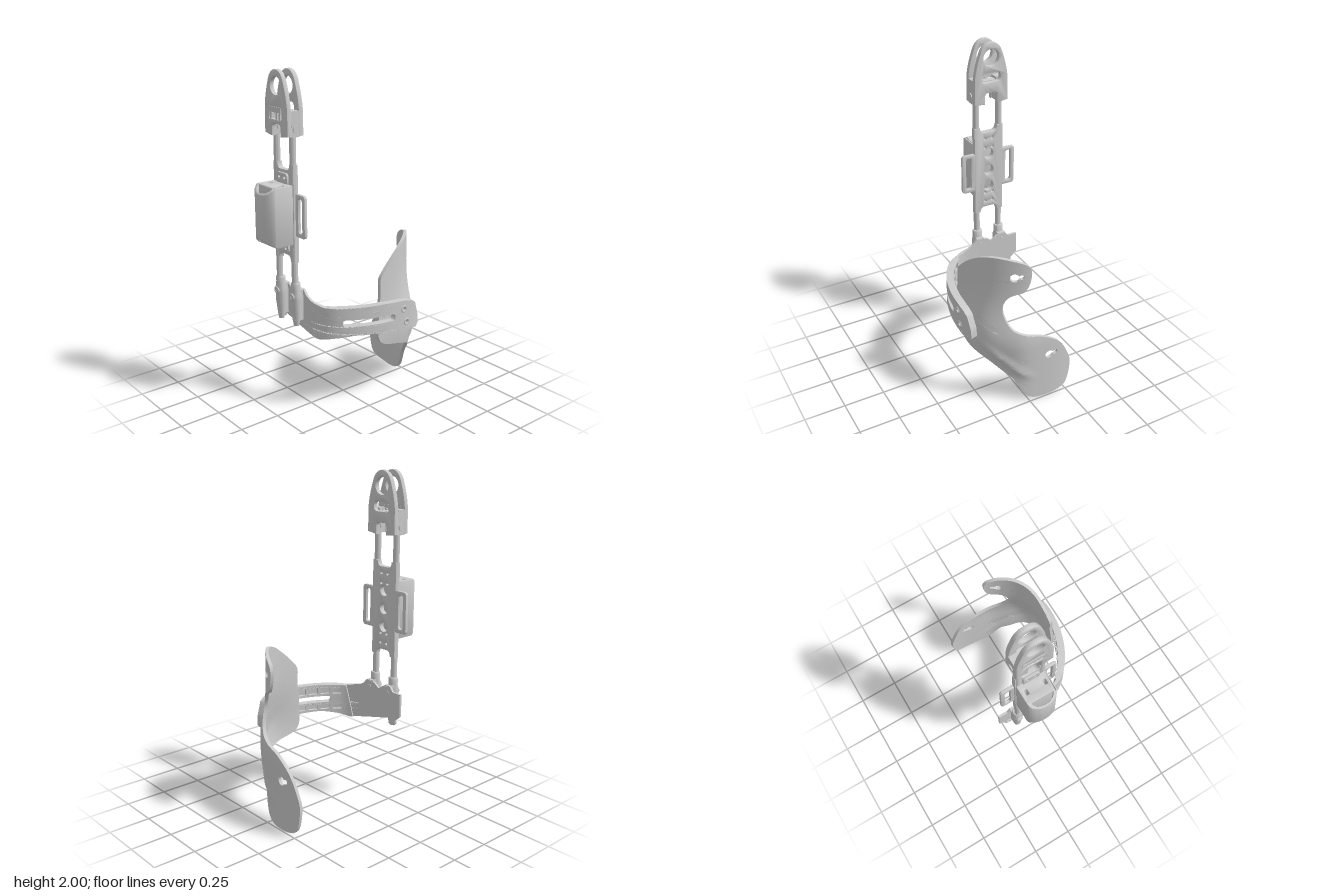
import * as THREE from 'three';
import { toCreasedNormals } from 'three/addons/utils/BufferGeometryUtils.js';

const V2 = (x, y) => new THREE.Vector2(x, y);
const CX = -0.143, RODS = [-0.219, -0.067], ROD_Z = 0.306;

function add(parent, name, geo, crease = 0.6) {
  const mesh = new THREE.Mesh(
    toCreasedNormals(geo.index ? geo.toNonIndexed() : geo, crease),
    new THREE.MeshStandardMaterial({ color: 0xcccccc }));
  mesh.name = name;
  parent.add(mesh);
  return mesh;
}

const box = (x0, x1, y0, y1, z0, z1) => new THREE.BoxGeometry(x1 - x0, y1 - y0, z1 - z0)
  .translate((x0 + x1) / 2, (y0 + y1) / 2, (z0 + z1) / 2);

const circle = (x, y, r) => new THREE.Path().absarc(x, y, r, 0, Math.PI * 2);

// rounded rectangle between two corners
function rounded(x0, x1, y0, y1, r, Type = THREE.Shape) {
  const p = new Type(), q = Math.PI / 2;
  p.absarc(x1 - r, y0 + r, r, -q, 0).absarc(x1 - r, y1 - r, r, 0, q);
  p.absarc(x0 + r, y1 - r, r, q, 2 * q).absarc(x0 + r, y0 + r, r, 2 * q, 3 * q);
  p.closePath();
  return p;
}

// flat plate from z0 to z1 with a small bevel
function plate(shape, z0, z1, bevel = 0.004) {
  return new THREE.ExtrudeGeometry(shape, {
    depth: z1 - z0 - 2 * bevel, bevelEnabled: bevel > 0, bevelThickness: bevel,
    bevelSize: bevel, bevelOffset: -bevel, bevelSegments: 2, curveSegments: 12,
  }).translate(0, 0, z0 + bevel);
}

// split every edge longer than max, so that a flat plate can be bent
function refine(geo, max) {
  const p = geo.attributes.position, stack = [], out = [];
  const v = (i) => new THREE.Vector3().fromBufferAttribute(p, i);
  for (let i = 0; i < p.count; i += 3) stack.push([v(i), v(i + 1), v(i + 2)]);
  while (stack.length) {
    let t = stack.pop();
    let m = t.map((a, i) => {
      const b = t[(i + 1) % 3];
      return a.distanceTo(b) > max ? a.clone().add(b).multiplyScalar(0.5) : null;
    });
    const n = m.filter(Boolean).length;
    const turn = () => { t = [t[1], t[2], t[0]]; m = [m[1], m[2], m[0]]; };
    if (n === 0) { out.push(...t); continue; }
    if (n === 1) while (!m[0]) turn();
    if (n === 2) while (m[2]) turn();
    const [a, b, c] = t, [ab, bc, ca] = m;
    if (n === 1) stack.push([a, ab, c], [ab, b, c]);
    else if (n === 2) stack.push([ab, b, bc], [a, ab, bc], [a, bc, c]);
    else stack.push([a, ab, ca], [ab, b, bc], [ca, bc, c], [ab, bc, ca]);
  }
  return new THREE.BufferGeometry().setFromPoints(out);
}

// wrap a shape drawn in (length along path, height); offset(s, y, d) moves it outward
function bentPlate(shape, path, offset) {
  const curve = new THREE.CatmullRomCurve3(path.map(([x, z]) => new THREE.Vector3(x, 0, z)));
  const T = 0.01, len = curve.getLength();
  const geo = refine(new THREE.ExtrudeGeometry(shape,
    { depth: T, bevelEnabled: false, curveSegments: 8 }), 0.035);
  const p = geo.attributes.position;
  for (let i = 0; i < p.count; i++) {
    const s = p.getX(i), y = p.getY(i), u = THREE.MathUtils.clamp(s / len, 0, 1);
    const c = curve.getPointAt(u), t = curve.getTangentAt(u), o = offset(s, y, p.getZ(i) / T);
    p.setXYZ(i, c.x - t.z * o, y, c.z + t.x * o);
  }
  return geo;
}

function buildClevis(g) {
  const outline = () => {
    const s = new THREE.Shape();
    s.moveTo(-0.11, 1.64).lineTo(-0.04, 1.63).lineTo(-0.04, 1.68).quadraticCurveTo(-0.038, 1.7, -0.02, 1.7);
    s.lineTo(0.02, 1.7).quadraticCurveTo(0.038, 1.7, 0.04, 1.68).lineTo(0.04, 1.63).lineTo(0.11, 1.64);
    s.lineTo(0.108, 1.79).bezierCurveTo(0.1, 1.86, 0.085, 1.9, 0.07, 1.945);
    s.bezierCurveTo(0.045, 2.018, -0.045, 2.018, -0.07, 1.945);
    s.bezierCurveTo(-0.085, 1.9, -0.1, 1.86, -0.108, 1.79).closePath();
    s.holes.push(circle(0, 1.91, 0.05));
    return s;
  };
  const front = outline(), back = outline();
  front.holes.push(rounded(-0.065, 0.05, 1.725, 1.785, 0.008, THREE.Path));
  back.holes.push(rounded(-0.06, 0.06, 1.765, 1.82, 0.022, THREE.Path));
  add(g, 'clevisFrontPlate', plate(front, 0.333, 0.362, 0.006).translate(CX, 0, 0));
  add(g, 'clevisBackPlate', plate(back, 0.252, 0.283, 0.006).translate(CX, 0, 0));
  for (const x of RODS) {
    add(g, 'clevisLeg', box(x - 0.032, x + 0.032, 1.635, 1.78, 0.28, 0.335));
    add(g, 'clevisBolt', new THREE.CylinderGeometry(0.02, 0.02, 0.076, 20)
      .rotateZ(Math.PI / 2).translate(x, 1.68, ROD_Z));
  }
  add(g, 'clevisBridge', box(CX - 0.06, CX + 0.06, 1.7, 1.765, 0.282, 0.325));
  // locking clip in the front window
  for (const dx of [-0.055, 0, 0.03])
    add(g, 'clipFinger', box(CX + dx - 0.008, CX + dx + 0.008, 1.715, 1.775, 0.32, 0.358));
  add(g, 'clipBar', box(CX - 0.075, CX + 0.055, 1.765, 1.795, 0.33, 0.366));
}

function buildRail(g) {
  for (const x of RODS)
    add(g, 'rod', new THREE.CylinderGeometry(0.019, 0.019, 1.16, 24).translate(x, 1.12, ROD_Z));
  // back plate with scooped ends between the rods
  const s = new THREE.Shape();
  s.moveTo(-0.095, 0.9).lineTo(-0.057, 0.9).quadraticCurveTo(-0.055, 0.935, -0.03, 0.935);
  s.lineTo(0.03, 0.935).quadraticCurveTo(0.055, 0.935, 0.057, 0.9).lineTo(0.095, 0.9);
  s.lineTo(0.095, 1.475).lineTo(0.057, 1.475).quadraticCurveTo(0.055, 1.44, 0.03, 1.44);
  s.lineTo(-0.03, 1.44).quadraticCurveTo(-0.055, 1.44, -0.057, 1.475).lineTo(-0.095, 1.475).closePath();
  for (const dy of [-0.11, 0, 0.11]) s.holes.push(circle(0, 1.187 + dy, 0.032));
  for (const y of [0.975, 1.035, 1.34, 1.4])
    for (const x of [-0.025, 0.025]) s.holes.push(circle(x, y, 0.008));
  add(g, 'railPlate', plate(s, 0.286, 0.32, 0.003).translate(CX, 0, 0));
  // screw tabs above and below the housing
  for (const [y0, y1, hy] of [[1.35, 1.422, 1.397], [0.952, 1.02, 0.978]]) {
    const tab = rounded(-0.052, 0.052, y0, y1, 0.02);
    for (const x of [-0.025, 0.025]) tab.holes.push(circle(x, hy, 0.009));
    add(g, 'screwTab', plate(tab, 0.318, 0.333, 0.002).translate(CX, 0, 0));
  }
  // strap loops at both sides
  for (const side of [-1, 1]) {
    const loop = rounded(0.085, 0.179, 1.06, 1.312, 0.02);
    loop.holes.push(rounded(0.118, 0.153, 1.085, 1.29, 0.015, THREE.Path));
    const geo = plate(loop, 0.287, 0.307, 0.004);
    add(g, 'strapLoop', side < 0 ? geo.rotateY(Math.PI).translate(CX, 0, 0.594) : geo.translate(CX, 0, 0));
  }
}

// D-shaped housing with a curved front cover, chamfered at both ends
function buildHousing(g) {
  const s = new THREE.Shape();
  s.moveTo(-0.091, 0.322).lineTo(0.091, 0.322).lineTo(0.091, 0.435);
  s.absellipse(0, 0.435, 0.091, 0.055, 0, Math.PI).closePath();
  s.holes.push(new THREE.Path().absellipse(0, 0.442, 0.066, 0.036, 0, Math.PI).closePath());
  for (const x of [-0.058, 0.058])
    s.holes.push(rounded(x - 0.009, x + 0.009, 0.362, 0.392, 0.004, THREE.Path));
  const geo = plate(s, 0, 0.35, 0.005).rotateX(Math.PI / 2).translate(CX, 1.362, 0);
  const p = geo.attributes.position;
  for (let i = 0; i < p.count; i++) {
    const cut = Math.max(0, p.getZ(i) - 0.44) * 0.9;
    p.setY(i, p.getY(i) - Math.sign(p.getY(i) - 1.187) * cut);
  }
  add(g, 'housing', geo);
}

function buildArm(g) {
  // sockets holding the rods
  const profile = [[0, 0.5], [0.018, 0.505], [0.027, 0.56], [0.036, 0.67], [0.036, 0.7], [0.03, 0.73],
    [0.03, 0.77], [0.026, 0.776], [0, 0.776]].map(([x, y]) => V2(x, y));
  for (const x of RODS) {
    add(g, 'rodSocket', new THREE.LatheGeometry(profile, 28).scale(1, 1, 0.88).translate(x, 0, 0.301));
    add(g, 'socketBack', box(x - 0.025, x + 0.025, 0.54, 0.73, 0.255, 0.3));
    add(g, 'socketScrew', new THREE.TorusGeometry(0.016, 0.007, 8, 24).translate(x, 0.69, 0.331));
    add(g, 'socketScrewHead', new THREE.CylinderGeometry(0.012, 0.012, 0.085, 16)
      .rotateX(Math.PI / 2).translate(x, 0.69, 0.291));
  }
  add(g, 'cornerBolt', new THREE.TorusGeometry(0.018, 0.009, 8, 24).translate(-0.262, 0.515, 0.263));

  const path = [[-0.33, 0.257], [-0.15, 0.257], [0, 0.257], [0.07, 0.249], [0.14, 0.212], [0.2, 0.145],
    [0.25, 0.06], [0.283, -0.03], [0.301, -0.12], [0.306, -0.2], [0.303, -0.27], [0.287, -0.33]];
  const outline = [[0.005, 0.7], [0.065, 0.7], [0.09, 0.73], [0.15, 0.72], [0.185, 0.695], [0.22, 0.72],
    [0.29, 0.73], [0.315, 0.7], [0.35, 0.68], [0.45, 0.658], [0.6, 0.662], [0.8, 0.664], [0.93, 0.656],
    [1.0, 0.642], [1.03, 0.62], [1.063, 0.53], [1.065, 0.475], [1.045, 0.456], [0.95, 0.468], [0.8, 0.485],
    [0.62, 0.49], [0.5, 0.472], [0.43, 0.455], [0.4, 0.455], [0.3, 0.48], [0.1, 0.53], [0.092, 0.5],
    [0.07, 0.49], [0.048, 0.5], [0.042, 0.53], [0.005, 0.56]].map(([x, y]) => V2(x, y));
  const screws = [[0.938, 0.603], [0.96, 0.518]];
  const cut = (shape) => {
    shape.holes.push(rounded(0.555, 0.875, 0.547, 0.588, 0.018, THREE.Path));
    for (const [x, y] of screws) shape.holes.push(circle(x, y, 0.013));
    return shape;
  };
  const thick = (s) => 0.009 + 0.011 * THREE.MathUtils.smoothstep(s, 0.33, 0.55);
  add(g, 'arm', bentPlate(cut(new THREE.Shape(outline)), path, (s, y, d) => (d === 0 ? -0.006 : thick(s))));
  // inner lattice of pockets
  const lattice = cut(new THREE.Shape(outline.filter((p) => p.x >= 0.4)));
  for (let s = 0.48; s < 0.88; s += 0.08)
    for (const [y0, y1] of [[0.603, 0.644], [0.502, 0.534]])
      lattice.holes.push(rounded(s, s + 0.062, y0, y1, 0.006, THREE.Path));
  add(g, 'armLattice', bentPlate(lattice, path, (s, y, d) => (d - 1) * thick(s) - 0.004));
  for (const [i, [, y]] of screws.entries())
    add(g, 'armScrew', new THREE.TorusGeometry(0.017, 0.006, 8, 24)
      .rotateY(Math.PI / 2).translate(0.325, y, -0.2 - i * 0.022));
}

// curved two-winged cuff
function buildCuff(g) {
  const path = [[0.25, -0.05], [0.242, -0.15], [0.225, -0.24], [0.18, -0.325], [0.11, -0.395],
    [0.02, -0.445], [-0.1, -0.466], [-0.2, -0.47], [-0.295, -0.46]];
  const edge = [[0.002, 0.55], [0.018, 0.7], [0.02, 0.8], [0.05, 0.84], [0.15, 0.93], [0.24, 0.985],
    [0.345, 1.003], [0.49, 0.968], [0.522, 0.93], [0.508, 0.82], [0.475, 0.78], [0.42, 0.765], [0.383, 0.73],
    [0.365, 0.67], [0.39, 0.59], [0.43, 0.53], [0.51, 0.485], [0.61, 0.45], [0.71, 0.38], [0.78, 0.25],
    [0.796, 0.19], [0.765, 0.04], [0.71, 0.012], [0.55, 0.006], [0.5, 0.04], [0.43, 0.165], [0.37, 0.22],
    [0.27, 0.31], [0.15, 0.36], [0.05, 0.385], [0.008, 0.42]];
  const curve = new THREE.CatmullRomCurve3(
    edge.map(([x, y]) => new THREE.Vector3(x, y, 0)).reverse(), true);
  const shape = new THREE.Shape(curve.getSpacedPoints(130).slice(0, -1).map((p) => V2(p.x, p.y)));
  for (const [x, y] of [[0.43, 0.882], [0.645, 0.31]]) {
    const key = new THREE.Path();
    key.absarc(x, y, 0.027, 0.55, Math.PI * 2 - 0.55).absarc(x + 0.038, y + 0.006, 0.015, -1.7, 1.7);
    shape.holes.push(key.closePath());
  }
  const bump = (v, w) => Math.exp(-(v * v) / (w * w));
  const offset = (s, y, d) => {
    // swelling around the arm mount, and a diagonal rib down the lower wing
    const swell = 0.05 * bump(s - 0.27, 0.2) * bump(y - 0.46, 0.2);
    const low = 0.014 * THREE.MathUtils.smoothstep(s, 0.35, 0.5) * THREE.MathUtils.smoothstep(0.6 - y, 0, 0.2);
    const rib = 0.012 * bump((s - 0.29) * 0.707 + (y - 0.4) * 0.707, 0.025)
      * THREE.MathUtils.smoothstep(y, 0.12, 0.22) * bump(s - 0.42, 0.16);
    return swell + low + rib + (d - 0.5) * 0.02;
  };
  add(g, 'cuff', bentPlate(shape, path, offset));
}

export function createModel() {
  const model = new THREE.Group();
  model.name = 'legBrace';
  const parts = { clevis: buildClevis, rail: buildRail, housing: buildHousing, arm: buildArm, cuff: buildCuff };
  for (const [name, build] of Object.entries(parts)) {
    const group = new THREE.Group();
    group.name = name + 'Group';
    build(group);
    model.add(group);
  }
  return model;
}
